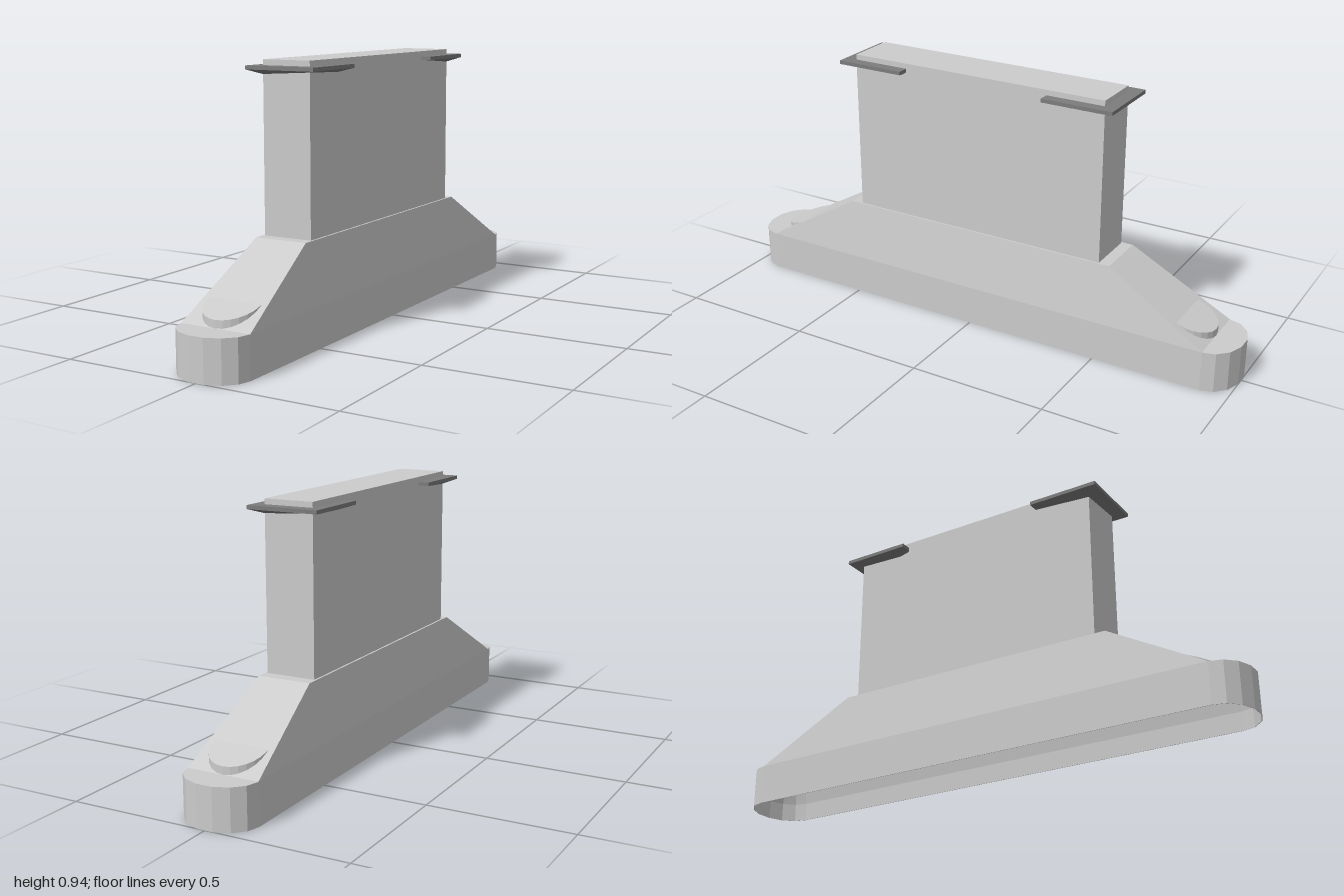
import * as THREE from 'three';

const concrete = new THREE.MeshStandardMaterial({ color: 0xcccccc, flatShading: true });
const dark = new THREE.MeshStandardMaterial({ color: 0x7c7c7c, flatShading: true, side: THREE.DoubleSide });

// Skin closed rings of [x, y, z] points (counter-clockwise from above), capped at both ends
function loft(rings) {
  const pos = [];
  const tri = (...pts) => pts.forEach((p) => pos.push(...p));
  const n = rings[0].length;
  for (let r = 0; r < rings.length - 1; r++) {
    const a = rings[r], b = rings[r + 1];
    for (let i = 0; i < n; i++) {
      const j = (i + 1) % n;
      tri(a[i], a[j], b[j]);
      tri(a[i], b[j], b[i]);
    }
  }
  const first = rings[0], last = rings[rings.length - 1];
  for (let i = 1; i < n - 1; i++) {
    tri(first[0], first[i + 1], first[i]);
    tri(last[0], last[i], last[i + 1]);
  }
  return fromPositions(pos);
}

function fromPositions(pos) {
  const g = new THREE.BufferGeometry();
  g.setAttribute('position', new THREE.Float32BufferAttribute(pos, 3));
  g.computeVertexNormals();
  return g;
}

function add(parent, name, geometry, material) {
  const mesh = new THREE.Mesh(geometry, material);
  mesh.name = name;
  parent.add(mesh);
  return mesh;
}

// Long plan outline with faceted round ends
function footingRing(y, inset) {
  const ring = [], segs = 7;
  for (const s of [1, -1]) {
    for (let i = 0; i <= segs; i++) {
      const t = -Math.PI / 2 + (Math.PI * i) / segs;
      ring.push([s * (0.13 - inset) * Math.sin(t), y, s * (0.9 + (0.103 - inset) * Math.cos(t))]);
    }
  }
  return ring;
}

const rectRing = (y, x, z) => [[-x, y, z], [x, y, z], [x, y, -z], [-x, y, -z]];

// Half-round nose pad with a gently sloping top
function nosePad() {
  const plan = [];
  for (let i = 0; i <= 12; i++) {
    const t = -Math.PI / 2 + (Math.PI * i) / 12;
    plan.push([0.098 * Math.sin(t), 0.8 + 0.1 * Math.cos(t)]);
  }
  plan.push([0.098, 0.785], [-0.098, 0.785]);
  return loft([
    plan.map(([x, z]) => [x, 0.14, z]),
    plan.map(([x, z]) => [x, 0.172 + (0.9 - z) * 0.335, z]),
  ]);
}

// U-shaped collar plate around one end of the wall
function collarPlate() {
  const s = new THREE.Shape([
    [-0.13, 0.28], [-0.13, 0.54], [0.13, 0.54], [0.13, 0.28],
    [0.09, 0.28], [0.09, 0.495], [-0.09, 0.495], [-0.09, 0.28],
  ].map(([x, z]) => new THREE.Vector2(x, -z)));
  const g = new THREE.ExtrudeGeometry(s, { depth: 0.013, bevelEnabled: false });
  g.rotateX(-Math.PI / 2);
  return g.translate(0, 0.908, 0);
}

// Skewed underside running from the plate rim down to the wall
function collarUnderside() {
  const y = 0.908;
  const outer = [[-0.13, y, 0.28], [-0.13, y, 0.54], [0.13, y, 0.54], [0.13, y, 0.28], [0.13, y, 0.28]];
  const inner = [[-0.09, y, 0.28], [-0.09, 0.892, 0.495], [0.09, 0.902, 0.495], [0.09, 0.895, 0.32], [0.09, 0.904, 0.28]];
  const pos = [];
  for (let i = 0; i < 4; i++) {
    for (const p of [outer[i], inner[i], inner[i + 1], outer[i], inner[i + 1], outer[i + 1]]) pos.push(...p);
  }
  return fromPositions(pos);
}

export function createModel() {
  const model = new THREE.Group();
  model.name = 'bridgePier';

  // Footing, hollow from below with a tapered recess
  add(model, 'footing', loft([
    footingRing(0.12, 0.015), footingRing(0.065, 0.004), footingRing(0, 0.002),
    footingRing(0, 0), footingRing(0.145, 0),
  ]), concrete);

  // Sloped shoulder and upright wall
  add(model, 'shoulder', loft([rectRing(0.145, 0.13, 0.9), rectRing(0.356, 0.097, 0.537)]), concrete);
  const wall = add(model, 'wall', new THREE.BoxGeometry(0.18, 0.585, 0.99), concrete);
  wall.position.y = 0.6475;

  // Both ends, the rear turned half round
  for (const [name, turn] of [['front', 0], ['back', Math.PI]]) {
    const end = new THREE.Group();
    end.name = name + 'End';
    end.rotation.y = turn;
    add(end, name + 'NosePad', nosePad(), concrete);
    add(end, name + 'CollarPlate', collarPlate(), dark);
    add(end, name + 'CollarUnderside', collarUnderside(), dark);
    model.add(end);
  }
  return model;
}
